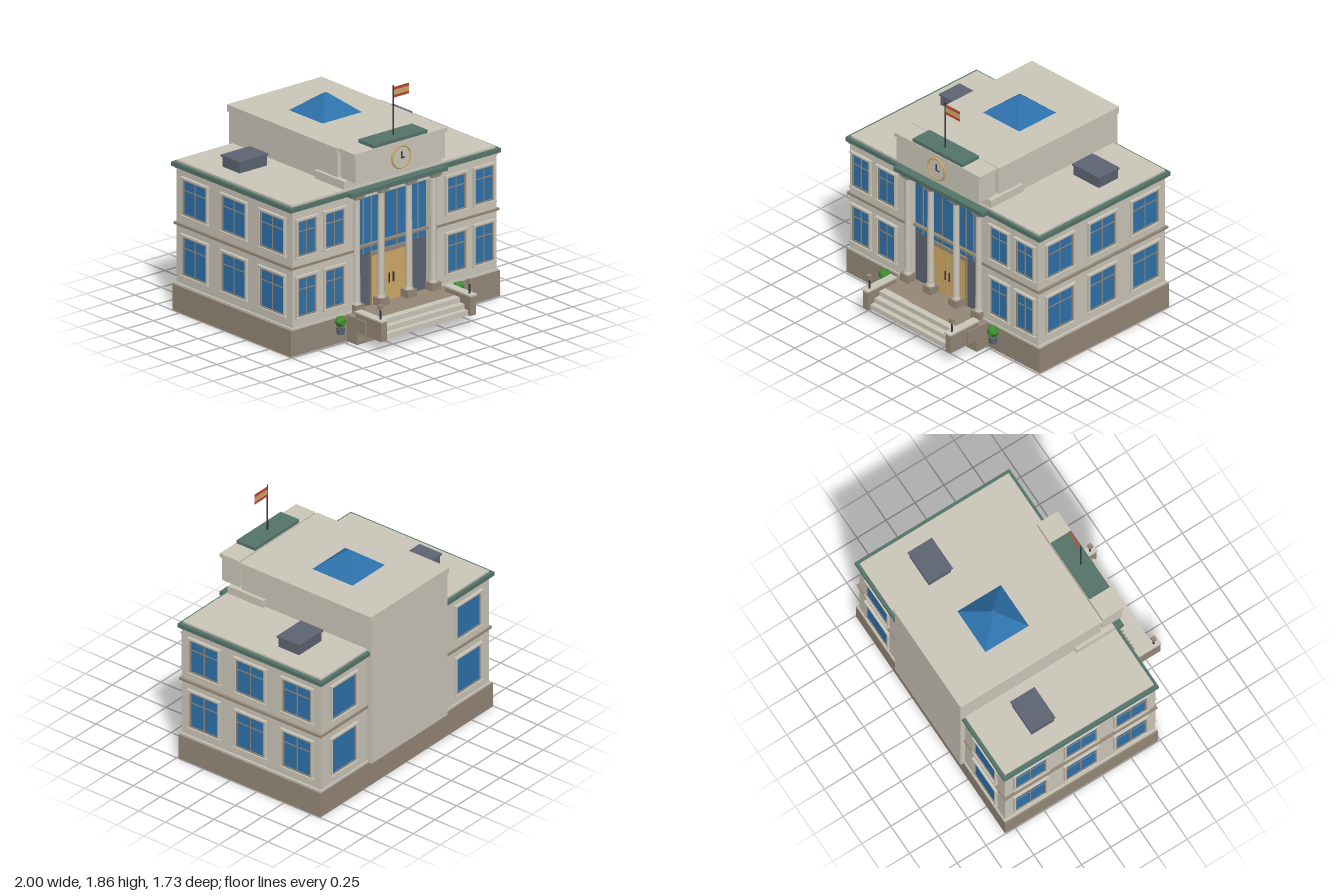
import * as THREE from 'three';

const mat = (name, color, extra = {}) => {
  const m = new THREE.MeshStandardMaterial({ color, ...extra });
  m.name = name;
  return m;
};

export function createModel() {
  const stone = mat('stone', 0xcbc6b9);
  const brown = mat('brownStone', 0x948777);
  const green = mat('copperGreen', 0x55746a);
  const glass = mat('blueGlass', 0x2d71ab);
  const grey = mat('slateGrey', 0x5d6472);
  const gold = mat('gold', 0xcfa966);
  const dark = mat('darkMetal', 0x2f343e);
  const red = mat('flagRed', 0xc0443a);
  const leaf = mat('leafGreen', 0x3f8f2f, { flatShading: true });

  const root = new THREE.Group();
  root.name = 'civicBuilding';

  const add = (name, geo, m, x = 0, y = 0, z = 0, parent = root) => {
    const mesh = new THREE.Mesh(geo, m);
    mesh.name = name;
    mesh.position.set(x, y, z);
    parent.add(mesh);
    return mesh;
  };
  // Box given by its limits on each axis
  const box = (name, m, x0, x1, y0, y1, z0, z1, parent = root) =>
    add(name, new THREE.BoxGeometry(x1 - x0, y1 - y0, z1 - z0), m,
      (x0 + x1) / 2, (y0 + y1) / 2, (z0 + z1) / 2, parent);
  // Box mirrored across x = 0
  const pair = (name, m, x0, x1, ...rest) => {
    box(name + 'Left', m, x0, x1, ...rest);
    box(name + 'Right', m, -x1, -x0, ...rest);
  };
  // Four bars around an opening, centred on the local origin
  const frame = (name, m, w, h, t, depth, parent) => {
    for (const s of [-1, 1]) {
      add(name, new THREE.BoxGeometry(t, h + 2 * t, depth), m, s * (w + t) / 2, 0, depth / 2, parent);
      add(name, new THREE.BoxGeometry(w, t, depth), m, 0, s * (h + t) / 2, depth / 2, parent);
    }
  };

  // Plinth, walls and water table
  box('plinth', brown, -0.995, 0.995, 0, 0.2, -0.835, 0.485);
  box('centreWall', stone, -0.34, 0.34, 0.2, 1.105, -0.82, 0.42);
  pair('wingWall', stone, 0.34, 0.97, 0.2, 1.105, -0.82, 0.475);
  box('entranceLintel', stone, -0.34, 0.34, 1.06, 1.105, 0.42, 0.475);
  pair('waterTable', stone, 0.4, 0.985, 0.2, 0.215, -0.83, 0.483);

  // Floor band around the wings, cornice and flat roof
  pair('floorBand', brown, 0.395, 0.99, 0.665, 0.682, -0.832, 0.485);
  box('corniceBed', stone, -0.98, 0.98, 1.095, 1.11, -0.83, 0.483);
  box('cornice', green, -1, 1, 1.11, 1.143, -0.845, 0.49);
  box('porticoCornice', green, -0.46, 0.46, 1.11, 1.143, 0.4, 0.535);
  box('flatRoof', stone, -0.97, 0.97, 1.143, 1.158, -0.82, 0.465);

  // Tall central block
  box('centralBlock', stone, -0.438, 0.438, 0.2, 1.4, -0.86, 0.35);
  box('centralBlockCap', stone, -0.45, 0.45, 1.395, 1.447, -0.866, 0.358);
  box('parapet', stone, -0.465, 0.465, 1.143, 1.22, 0.125, 0.455);

  // Clock attic
  box('clockAttic', stone, -0.425, 0.425, 1.22, 1.42, 0.375, 0.54);
  box('clockAtticCap', stone, -0.442, 0.442, 1.418, 1.45, 0.367, 0.548);
  box('atticRoof', green, -0.255, 0.255, 1.45, 1.476, 0.37, 0.542);

  // Clock
  const clock = new THREE.Group();
  clock.name = 'clock';
  clock.position.set(0, 1.33, 0.54);
  root.add(clock);
  add('clockFace', new THREE.CylinderGeometry(0.085, 0.085, 0.012, 32), stone, 0, 0, 0.006, clock).rotation.x = Math.PI / 2;
  add('clockRim', new THREE.TorusGeometry(0.085, 0.008, 8, 32), gold, 0, 0, 0.01, clock);
  box('minuteHand', dark, -0.004, 0.004, -0.004, 0.042, 0.012, 0.017, clock);
  box('hourHand', dark, -0.004, 0.032, -0.012, -0.004, 0.012, 0.017, clock);

  // Flag pole and flag
  add('flagPole', new THREE.CylinderGeometry(0.005, 0.006, 0.38, 10), dark, 0, 1.665, 0.46);
  box('flagLowerStripe', red, 0.005, 0.147, 1.76, 1.78, 0.457, 0.463);
  box('flagMiddleStripe', gold, 0.005, 0.147, 1.78, 1.82, 0.457, 0.463);
  box('flagUpperStripe', red, 0.005, 0.147, 1.82, 1.84, 0.457, 0.463);

  // Pyramid skylight
  const pyramid = new THREE.CylinderGeometry(0.017 * Math.SQRT2, 0.187 * Math.SQRT2, 0.138, 4, 1).toNonIndexed();
  pyramid.rotateY(Math.PI / 4);
  pyramid.computeVertexNormals();
  add('skylight', pyramid, glass, 0, 1.516, -0.295);

  // Roof units
  pair('roofUnit', grey, 0.555, 0.815, 1.158, 1.236, -0.49, -0.298);
  pair('roofUnitLid', grey, 0.545, 0.825, 1.236, 1.25, -0.5, -0.29);

  // Windows: local z points out of the wall
  const addWindow = (x, z, turn, w, y0, y1, bars) => {
    const g = new THREE.Group();
    const h = y1 - y0;
    g.name = 'window';
    g.position.set(x, (y0 + y1) / 2, z);
    g.rotation.y = turn;
    root.add(g);
    add('pane', new THREE.BoxGeometry(w, h, 0.006), glass, 0, 0, 0.003, g);
    frame('windowFrame', brown, w - 0.016, h - 0.016, 0.01, 0.013, g);
    frame('windowSurround', stone, w + 0.004, h + 0.004, 0.014, 0.02, g);
    add('windowHead', new THREE.BoxGeometry(w + 0.045, 0.014, 0.024), stone, 0, h / 2 + 0.012, 0.012, g);
    add('windowSill', new THREE.BoxGeometry(w + 0.045, 0.014, 0.026), stone, 0, -h / 2 - 0.009, 0.013, g);
    if (bars) {
      add('mullion', new THREE.BoxGeometry(0.008, h, 0.01), brown, 0, 0, 0.005, g);
      add('transom', new THREE.BoxGeometry(w, 0.008, 0.01), brown, 0, h * 0.2, 0.005, g);
    }
  };
  for (const [y0, y1] of [[0.295, 0.59], [0.76, 1.03]]) {
    for (const s of [-1, 1]) {
      for (const x of [0.58, 0.845]) addWindow(s * x, 0.475, 0, 0.172, y0, y1, true);
      for (const z of [0.26, -0.17, -0.605]) addWindow(s * 0.97, z, s * Math.PI / 2, 0.26, y0, y1, true);
      addWindow(s * 0.72, -0.82, Math.PI, 0.27, y0, y1, false);
    }
  }

  // Entrance glazing, side panels and doors
  box('entranceGlass', glass, -0.34, 0.34, 0.6, 1.06, 0.42, 0.427);
  for (const x of [-0.26, -0.185, -0.06, 0.06, 0.185, 0.26])
    box('glazingBar', brown, x - 0.004, x + 0.004, 0.61, 1.06, 0.425, 0.434);
  box('entranceTransom', brown, -0.34, 0.34, 0.665, 0.682, 0.42, 0.455);
  pair('sidePanel', grey, 0.19, 0.34, 0.2, 0.61, 0.42, 0.43);
  box('doorHead', brown, -0.195, 0.195, 0.578, 0.61, 0.42, 0.442);
  pair('doorJamb', brown, 0.185, 0.195, 0.2, 0.58, 0.42, 0.442);
  pair('doorLeaf', gold, 0.002, 0.093, 0.2, 0.578, 0.42, 0.436);
  pair('outerDoorLeaf', gold, 0.096, 0.185, 0.2, 0.578, 0.42, 0.436);
  box('doorGap', dark, -0.002, 0.002, 0.2, 0.578, 0.42, 0.434);
  pair('doorHandle', dark, 0.016, 0.023, 0.335, 0.41, 0.436, 0.446);

  // Columns with pedestals and capitals
  for (const x of [-0.365, -0.132, 0.132, 0.365]) {
    box('columnPedestal', brown, x - 0.042, x + 0.042, 0.2, 0.262, 0.438, 0.522);
    add('columnBase', new THREE.CylinderGeometry(0.029, 0.033, 0.02, 20), stone, x, 0.272, 0.48);
    add('columnShaft', new THREE.CylinderGeometry(0.024, 0.027, 0.81, 20), stone, x, 0.68, 0.48);
    box('columnCapital', brown, x - 0.036, x + 0.036, 1.075, 1.09, 0.444, 0.516);
    box('columnAbacus', brown, x - 0.044, x + 0.044, 1.09, 1.11, 0.436, 0.524);
  }

  // Landing, steps and cheek walls
  box('porticoBase', brown, -0.463, 0.463, 0, 0.2, 0.4, 0.6);
  box('landing', brown, -0.463, 0.463, 0.1, 0.203, 0.48, 0.69);
  [0.74, 0.79, 0.83].forEach((z, i) =>
    box('step', stone, -0.4, 0.4, 0.09, 0.203 - i * 0.037, 0.68, z));
  pair('cheekWall', brown, 0.398, 0.452, 0.09, 0.238, 0.57, 0.855);
  pair('cheekCap', stone, 0.393, 0.457, 0.238, 0.25, 0.565, 0.862);

  // Lamps and potted shrubs
  for (const s of [-1, 1]) {
    add('lampPost', new THREE.CylinderGeometry(0.006, 0.008, 0.08, 10), dark, s * 0.425, 0.29, 0.815);
    box('lampHead', brown, s * 0.425 - 0.016, s * 0.425 + 0.016, 0.328, 0.36, 0.799, 0.831);
    add('shrubPot', new THREE.CylinderGeometry(0.034, 0.028, 0.052, 12), grey, s * 0.56, 0.117, 0.53);
    add('shrub', new THREE.IcosahedronGeometry(0.047, 0), leaf, s * 0.56, 0.187, 0.53);
  }
  return root;
}
